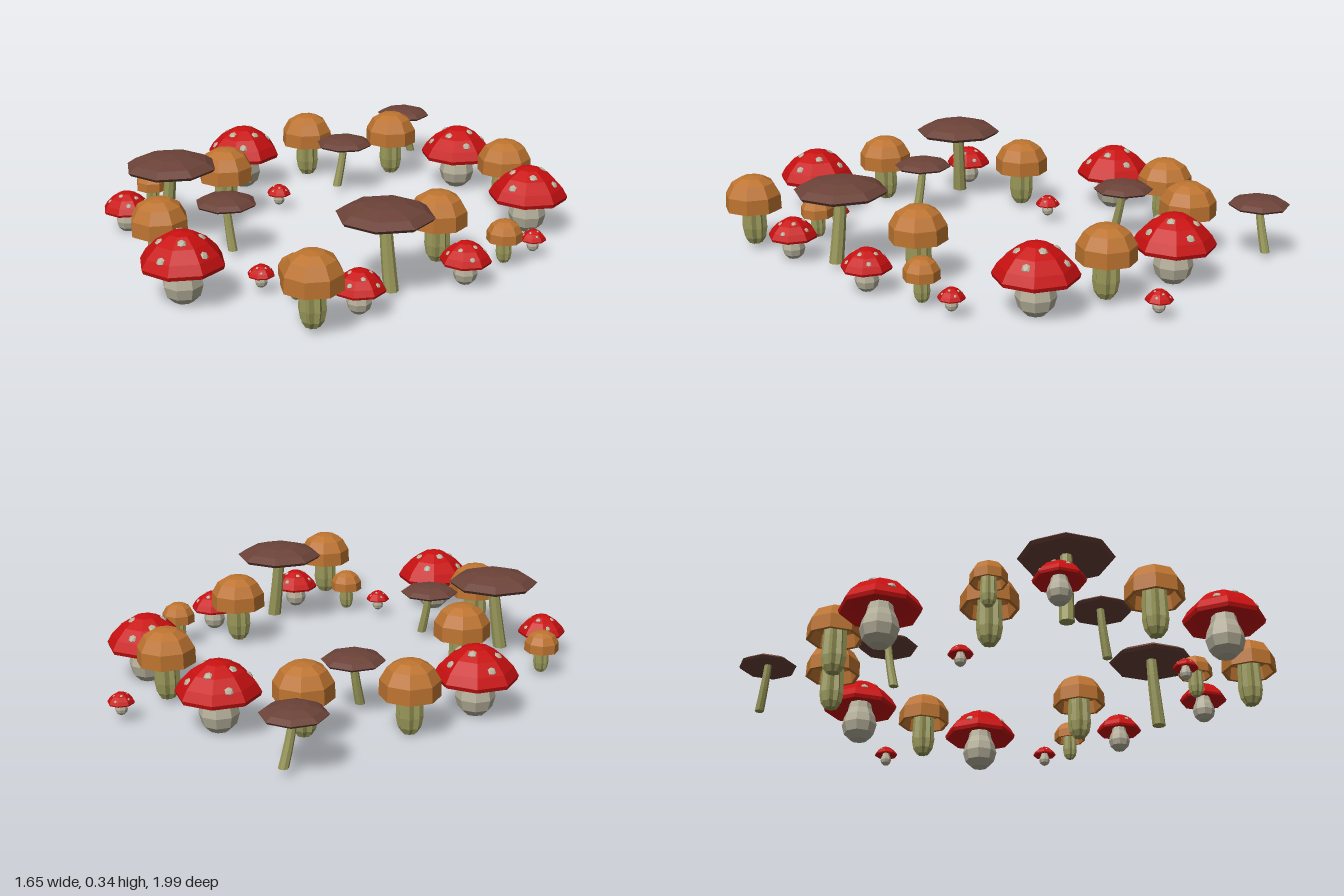
import * as THREE from 'three';

const SIDES = 8;
const TURN = -0.14; // all caps share this slight twist

const paint = (color) => new THREE.MeshStandardMaterial({ color, flatShading: true });

// Closed faceted solid turned from [radius, height] pairs, bottom to top
function turned(profile, sides = SIDES, start = TURN) {
  const points = profile.map(([r, y]) => new THREE.Vector2(r, y));
  return new THREE.LatheGeometry(points, sides, start);
}

// Plump red cap: concave underside, short rim, dome
const redDome = [[0.155, 0.15], [0.135, 0.185], [0.095, 0.226], [0.045, 0.256], [0, 0.265]];
const redCap = turned([[0, 0.165], [0.055, 0.165], [0.12, 0.152], [0.15, 0.135], ...redDome]);
const bulbStem = turned([
  [0, 0], [0.036, 0.002], [0.063, 0.028], [0.074, 0.068], [0.066, 0.105], [0.052, 0.135], [0.045, 0.17], [0, 0.17],
]);
const wart = new THREE.IcosahedronGeometry(0.017, 0).scale(1, 0.45, 1);
const wartSpots = [ // [angle, distance from the axis]
  [0.2, 0.075], [1.15, 0.115], [1.9, 0.06], [2.7, 0.12], [3.5, 0.085], [4.25, 0.13], [4.9, 0.07], [5.65, 0.12],
];

// Hollow orange bell
const bellCap = turned([
  [0, 0.245], [0.06, 0.235], [0.088, 0.2], [0.096, 0.147],
  [0.11, 0.147], [0.108, 0.205], [0.082, 0.25], [0.045, 0.272], [0, 0.278],
]);

// Fluted stem: every second column of vertices is pushed inwards
const flutedStem = turned([
  [0, 0.004], [0.026, 0.006], [0.042, 0.03], [0.049, 0.07], [0.046, 0.15], [0.04, 0.24], [0, 0.24],
], 16);
{
  const p = flutedStem.attributes.position;
  for (let i = 0; i < p.count; i++) {
    const column = Math.floor(i / 7);
    if (column % 2) p.setXYZ(i, p.getX(i) * 0.78, p.getY(i), p.getZ(i) * 0.78);
  }
}

// Wide flat brown cap
const flatCap = turned([
  [0, 0.305], [0.09, 0.297], [0.168, 0.284], [0.178, 0.296], [0.145, 0.318], [0.08, 0.338], [0, 0.345],
]);

// Slender stem whose foot bends away from the cap centre
function leaningStem(dx, dz) {
  const g = new THREE.CylinderGeometry(0.022, 0.028, 0.285, SIDES, 4).translate(0, 0.1625, 0);
  const p = g.attributes.position;
  for (let i = 0; i < p.count; i++) {
    const t = Math.pow(Math.max(0, (0.305 - p.getY(i)) / 0.285), 1.3);
    p.setX(i, p.getX(i) + dx * t);
    p.setZ(i, p.getZ(i) + dz * t);
  }
  return g;
}

// Height of the red dome at a given distance from its axis, and its slope
function domeAt(r) {
  for (let i = 1; i < redDome.length; i++) {
    const [r0, y0] = redDome[i - 1], [r1, y1] = redDome[i];
    if (r >= r1) return { y: y0 + (y1 - y0) * (r0 - r) / (r0 - r1), tilt: Math.atan2(y1 - y0, r0 - r1) };
  }
}

export function createModel() {
  const model = new THREE.Group();
  model.name = 'mushroomRing';
  const red = paint(0xc81010), orange = paint(0xbd7430), brown = paint(0x6b4238);
  const pale = paint(0xb6b09b), olive = paint(0x99985a);

  function add(parent, name, geometry, material) {
    const mesh = new THREE.Mesh(geometry, material);
    mesh.name = name;
    parent.add(mesh);
    return mesh;
  }

  function mushroom(name, x, z, scale, lift) {
    const g = new THREE.Group();
    g.name = name;
    g.position.set(x, lift, z);
    g.scale.setScalar(scale);
    model.add(g);
    return g;
  }

  // Red spotted mushrooms: x, z, scale, lift
  [
    [-0.07, -0.79, 1, 0], [0.5, -0.61, 1, 0], [-0.67, -0.08, 1, 0], [0.2, 0.835, 1, 0],
    [0.735, -0.02, 0.61, 0.007], [0.68, 0.44, 0.61, 0.007], [-0.51, 0.615, 0.61, 0.007],
    [0.26, -0.955, 0.32, 0.025], [0.71, -0.41, 0.32, 0.025], [-0.32, 0, 0.32, 0.025], [0.32, 0.585, 0.32, 0.025],
  ].forEach(([x, z, scale, lift], n) => {
    const g = mushroom('redMushroom', x, z, scale, lift);
    add(g, 'redCap', redCap, red);
    add(g, 'bulbStem', bulbStem, pale);
    for (const [angle, r] of wartSpots) {
      const a = angle + n * Math.PI / 4;
      // Flat facets sit closer to the axis than the corners do
      const offset = THREE.MathUtils.euclideanModulo(a - TURN, Math.PI / 4) - Math.PI / 8;
      const reach = r * Math.cos(Math.PI / 8) / Math.cos(offset);
      const { y, tilt } = domeAt(r);
      const spot = add(g, 'capSpot', wart, pale);
      spot.position.set(Math.sin(a) * reach, y, Math.cos(a) * reach);
      spot.rotation.set(tilt, a, 0, 'YXZ');
    }
  });

  // Orange bell mushrooms
  [
    [0.26, -0.73, 1, 0.015], [-0.355, -0.66, 1, 0.012], [-0.605, -0.385, 1, 0], [0.53, -0.08, 1, 0.013],
    [-0.4, 0.21, 1, 0.013], [-0.1, 0.73, 1, 0], [0.69, 0.655, 1, 0.017],
    [0.7, -0.26, 0.61, 0.012], [0.465, 0.54, 0.61, 0.012], [-0.64, 0.41, 0.61, 0.012],
  ].forEach(([x, z, scale, lift]) => {
    const g = mushroom('orangeMushroom', x, z, scale, lift);
    add(g, 'bellCap', bellCap, orange);
    add(g, 'flutedStem', flutedStem, olive);
  });

  // Brown flat mushrooms: x, z, scale, lift, foot offset x and z
  [
    [0.6, 0.25, 1, 0, 0.035, 0], [-0.335, 0.515, 1, 0, -0.03, 0.02],
    [-0.51, -0.88, 0.66, 0.015, 0.015, -0.065], [-0.335, -0.37, 0.66, 0.015, 0, 0.06],
    [-0.055, 0.46, 0.66, 0.015, 0.055, 0],
  ].forEach(([x, z, scale, lift, dx, dz]) => {
    const g = mushroom('brownMushroom', x, z, scale, lift);
    add(g, 'flatCap', flatCap, brown);
    add(g, 'leaningStem', leaningStem(dx, dz), olive);
  });

  return model;
}
